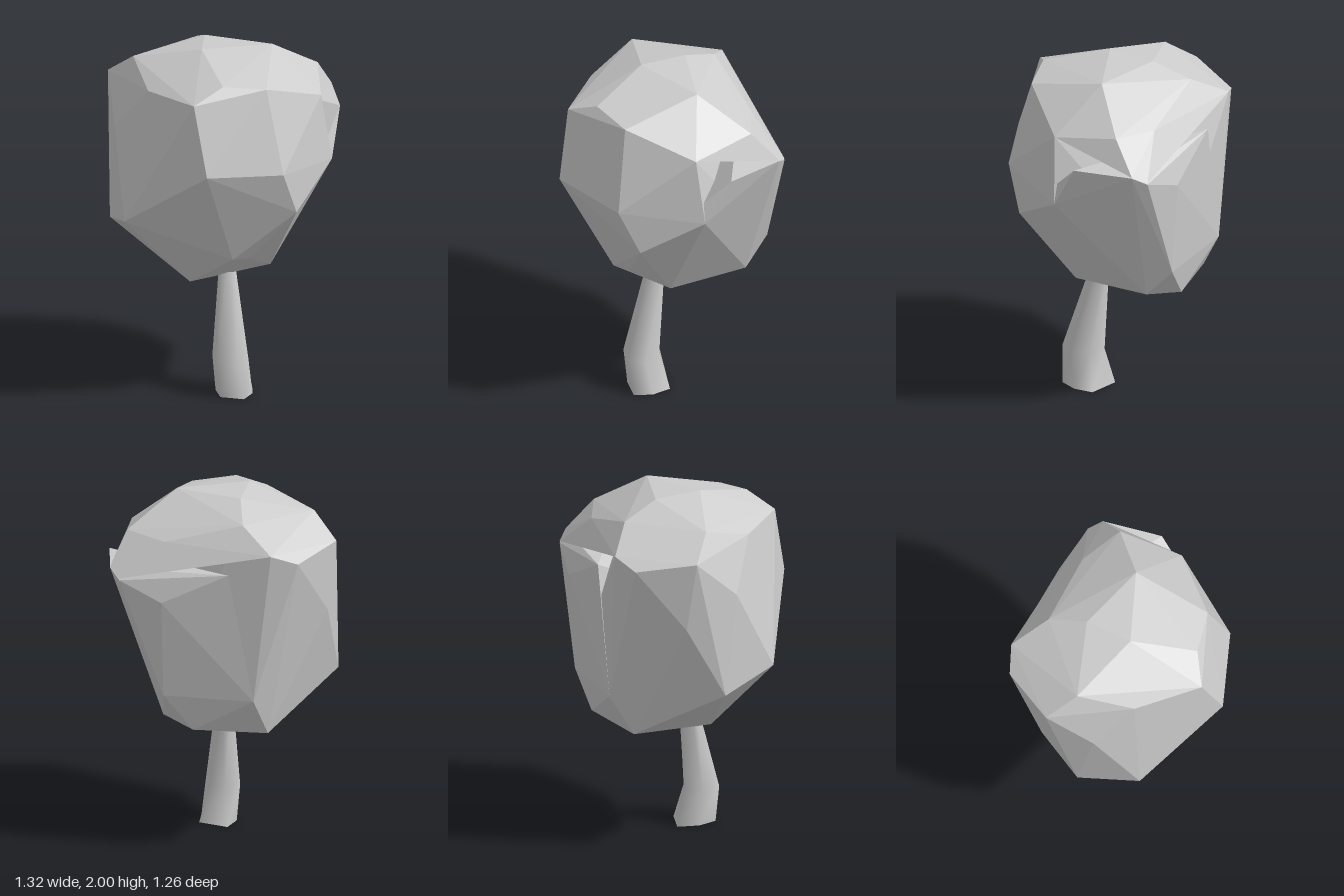
import * as THREE from 'three';
import { ConvexGeometry } from 'three/addons/geometries/ConvexGeometry.js';

const grey = new THREE.MeshStandardMaterial({ color: 0xcccccc, side: THREE.DoubleSide });
grey.name = 'light grey';

// Faceted lump of foliage around a few corner points
function lump(name, points) {
  const mesh = new THREE.Mesh(new ConvexGeometry(points.map((p) => new THREE.Vector3(...p))), grey);
  mesh.name = name;
  return mesh;
}

// Skin through rings of [x, y, z] corners
function loft(name, rings) {
  const n = rings[0].length;
  const index = [];
  for (let r = 0; r < rings.length - 1; r++) {
    for (let i = 0; i < n; i++) {
      const a = r * n + i, b = r * n + (i + 1) % n;
      index.push(a, b, b + n, a, b + n, a + n);
    }
  }
  const geo = new THREE.BufferGeometry();
  geo.setAttribute('position', new THREE.Float32BufferAttribute(rings.flat(2), 3));
  geo.setIndex(index);
  geo.computeVertexNormals();
  const mesh = new THREE.Mesh(geo, grey);
  mesh.name = name;
  return mesh;
}

const ringAt = (y, corners) => corners.map(([x, z]) => [x, y, z]);

export function createModel() {
  const tree = new THREE.Group();
  tree.name = 'tree';

  // Main crown
  tree.add(lump('crown', [
    // top
    [-0.19, 2.0, 0.02], [0.18, 1.985, 0.2], [0.01, 1.985, -0.16], [0.13, 1.9, -0.34],
    [-0.35, 1.9, -0.36], [-0.35, 1.91, 0.355], [-0.15, 1.88, 0.495], [-0.53, 1.83, 0.31],
    [-0.505, 1.81, -0.08],
    // front
    [-0.15, 1.41, 0.63], [-0.03, 1.155, 0.61], [-0.545, 1.44, 0.43], [0.26, 1.745, 0.505],
    [0.32, 1.36, 0.53], [-0.26, 0.86, 0.34], [-0.16, 0.855, 0.37],
    // side and back
    [-0.66, 1.07, -0.11], [-0.52, 1.54, -0.33], [-0.36, 1.77, -0.55], [-0.3, 1.38, -0.55],
    [-0.03, 1.72, -0.635], [0.11, 1.775, -0.57], [0.17, 0.92, -0.49], [-0.48, 0.97, -0.41],
    // underside
    [-0.26, 0.64, 0], [0.04, 0.7, -0.45], [0.06, 0.745, 0.31], [0.41, 0.76, 0.02],
    [0.37, 0.72, -0.2], [0.5, 0.92, -0.1],
  ]));

  // Overhanging shelf from the crown's top down to the side
  tree.add(lump('shelf', [
    [0.18, 1.985, 0.2], [0.13, 1.9, -0.34], [0.11, 1.775, -0.57], [0.5, 1.8, 0.23],
    [0.43, 1.78, -0.02], [0.655, 1.58, 0.1], [0.65, 1.625, 0.19], [0.26, 1.745, 0.505],
  ]));

  // Side lobe: its rim leaves a pocket in front and a slit under the shelf behind
  tree.add(lump('sideLobe', [
    [0.45, 1.62, 0.46], [0.65, 1.62, 0.19], [0.655, 1.57, 0.1], [0.53, 1.47, -0.12],
    [0.27, 1.65, -0.39], [0.32, 1.36, 0.53], [-0.03, 1.155, 0.61], [0.06, 0.745, 0.31],
    [0.41, 0.76, 0.02], [0.5, 0.92, -0.1], [0.37, 0.72, -0.2], [0.17, 0.92, -0.49],
  ]));

  // Leaning trunk with a flared, open foot
  tree.add(loft('trunk', [
    ringAt(0, [[-0.22, 0.2], [-0.15, 0.315], [-0.05, 0.28], [0.025, 0.2], [-0.05, 0.04], [-0.16, 0.1]]),
    ringAt(0.21, [[-0.245, 0.19], [-0.19, 0.3], [-0.09, 0.29], [-0.04, 0.19], [-0.07, 0.095], [-0.18, 0.095]]),
    ringAt(0.72, [[-0.14, 0.11], [-0.12, 0.155], [-0.06, 0.155], [-0.03, 0.12], [-0.05, 0.075], [-0.11, 0.075]]),
  ]));

  return tree;
}
